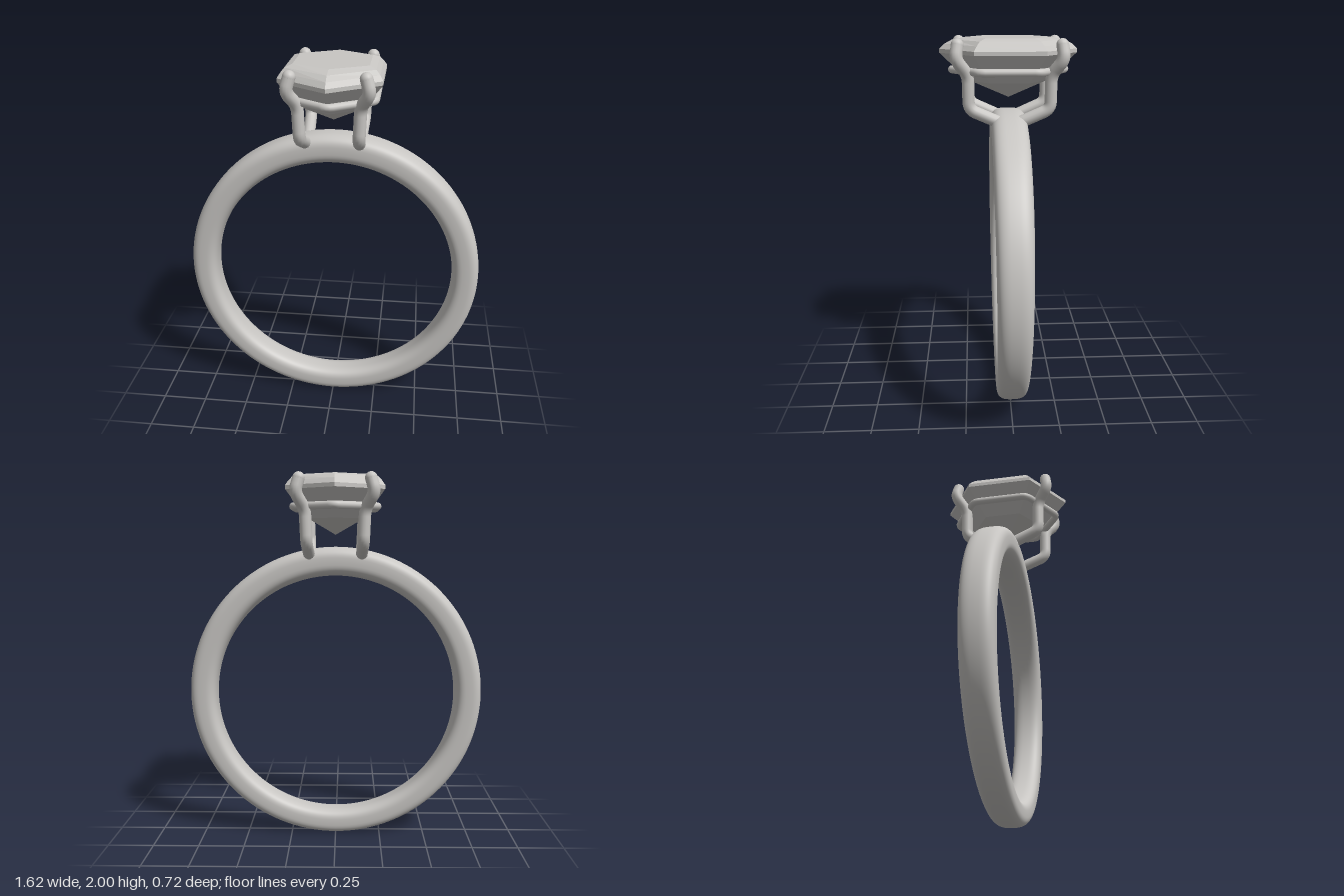
import * as THREE from 'three';

const metal = new THREE.MeshStandardMaterial({ color: 0xc8c6c3 });
metal.name = 'pale grey';
const stone = metal.clone();
stone.name = 'pale grey faceted';
stone.flatShading = true;

// Grid of quads from rows of points; columns always wrap, rows wrap if closed
function loft(rows, closed) {
  const n = rows[0].length, index = [];
  const last = closed ? rows.length : rows.length - 1;
  for (let i = 0; i < last; i++) {
    for (let j = 0; j < n; j++) {
      const i2 = (i + 1) % rows.length, j2 = (j + 1) % n;
      const a = i * n + j, b = i * n + j2, c = i2 * n + j, d = i2 * n + j2;
      index.push(a, b, c, b, d, c);
    }
  }
  const g = new THREE.BufferGeometry();
  g.setAttribute('position', new THREE.Float32BufferAttribute(rows.flat(2), 3));
  g.setIndex(index);
  g.computeVertexNormals();
  return g;
}

function mesh(name, geometry, material = metal) {
  const m = new THREE.Mesh(geometry, material);
  m.name = name;
  return m;
}

// Band: rounded-square section, slightly wider and thicker toward the top
function bandGeometry() {
  const rows = [], soft = v => Math.sign(v) * Math.abs(v) ** 0.68;
  for (let i = 0; i < 128; i++) {
    const a = (i / 128) * Math.PI * 2, up = (Math.cos(a) + 1) / 2;
    const thick = 0.136 + 0.02 * up, half = 0.08 + 0.015 * up;
    const row = [];
    for (let j = 0; j < 48; j++) {
      const b = (j / 48) * Math.PI * 2;
      const r = 0.812 - thick / 2 + (thick / 2) * soft(Math.cos(b));
      row.push([r * Math.sin(a), 0.814 + r * Math.cos(a), half * soft(Math.sin(b))]);
    }
    rows.push(row);
  }
  return loft(rows, true);
}

// Elongated hexagon: half width x, shoulder z, tip z
const hexagon = (y, x, s, t) =>
  [[0, y, t], [x, y, s], [x, y, -s], [0, y, -t], [-x, y, -s], [-x, y, s]];

// Polyline with softly rounded corners
function roundedPath(points, radius, closed) {
  const path = new THREE.CurvePath(), n = points.length;
  const p = points.map(q => new THREE.Vector3(...q));
  const toward = (a, b) => a.clone().add(
    b.clone().sub(a).setLength(Math.min(radius, a.distanceTo(b) * 0.45)));
  let from = closed ? toward(p[0], p[1]) : p[0];
  for (let k = 1; k < (closed ? n + 1 : n - 1); k++) {
    const c = p[k % n], before = toward(c, p[k - 1]), after = toward(c, p[(k + 1) % n]);
    path.add(new THREE.LineCurve3(from, before));
    path.add(new THREE.QuadraticBezierCurve3(before, c, after));
    from = after;
  }
  if (!closed) path.add(new THREE.LineCurve3(from, p[n - 1]));
  return path;
}

export function createModel() {
  const ring = new THREE.Group();
  ring.name = 'ring';
  ring.add(mesh('band', bandGeometry()));

  // Step-cut stone, from the point up to the flat table
  const tiers = [
    [1.69, 0, 0, 0],
    [1.775, 0.145, 0.1, 0.2],
    [1.84, 0.2, 0.138, 0.276],
    [1.92, 0.258, 0.18, 0.36],
    [1.94, 0.258, 0.18, 0.36],
    [1.965, 0.242, 0.166, 0.333],
    [1.987, 0.222, 0.15, 0.292],
    [2.0, 0.188, 0.122, 0.222],
    [2.0, 0, 0, 0],
  ];
  ring.add(mesh('gemstone', loft(tiers.map(t => hexagon(...t)), false).toNonIndexed(), stone));

  // Wire under the stone
  const wire = roundedPath(hexagon(1.835, 0.222, 0.155, 0.305), 0.03, true);
  ring.add(mesh('galleryWire', new THREE.TubeGeometry(wire, 120, 0.02, 12, true)));

  // Four prongs rising from the band and gripping the corners of the stone
  for (const sx of [-1, 1]) {
    for (const sz of [-1, 1]) {
      const points = [
        [0.14, 1.575, 0.05], [0.148, 1.645, 0.21], [0.155, 1.82, 0.212],
        [0.203, 1.9, 0.272], [0.183, 1.969, 0.262],
      ].map(([x, y, z]) => [x * sx, y, z * sz]);
      const prong = new THREE.Group();
      prong.name = (sz > 0 ? 'front' : 'back') + (sx > 0 ? 'Left' : 'Right') + 'Prong';
      prong.add(mesh('prongWire',
        new THREE.TubeGeometry(roundedPath(points, 0.04, false), 60, 0.032, 14)));
      const tip = mesh('prongTip', new THREE.SphereGeometry(0.032, 16, 12));
      tip.position.set(...points[4]);
      prong.add(tip);
      ring.add(prong);
    }
  }
  return ring;
}
